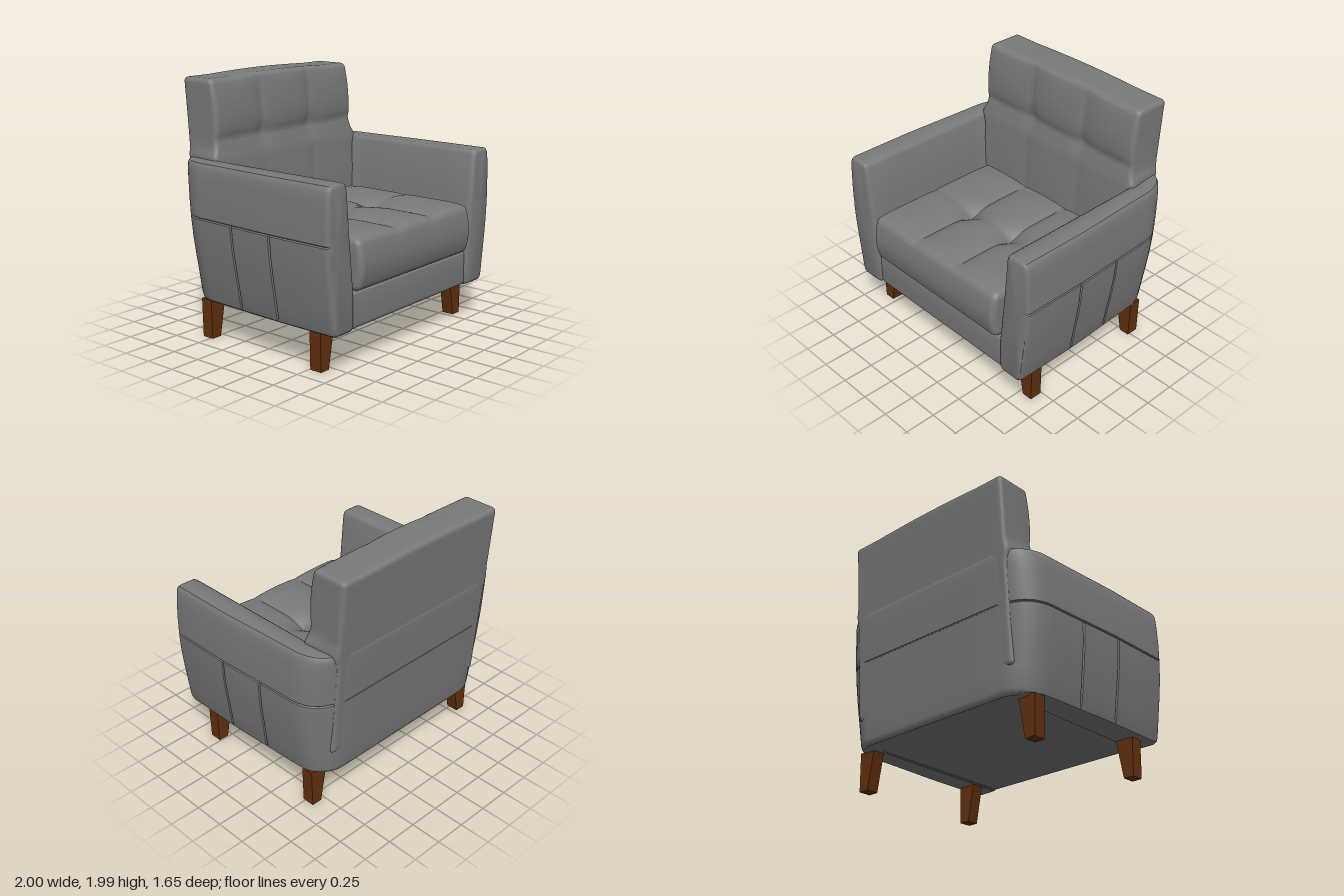
import * as THREE from 'three';
import { mergeVertices, toCreasedNormals } from 'three/addons/utils/BufferGeometryUtils.js';

const clamp = THREE.MathUtils.clamp, lerp = THREE.MathUtils.lerp;

// Grid coordinates along one axis: dense in the rounded rim, snapped to seams
function axis(half, r, n, seams = []) {
  const k = 4, c = [];
  for (let i = 0; i <= n; i++) {
    const e = Math.min(i, n - i), s = i < n / 2 ? -1 : 1;
    if (e < k) c.push(s * (half - r + r * Math.tan((1 - e / k) * Math.PI / 4)));
    else c.push(lerp(-(half - r), half - r, (i - k) / (n - 2 * k)));
  }
  for (const s of seams) {
    let b = 0;
    c.forEach((v, i) => { if (Math.abs(v - s) < Math.abs(c[b] - s)) b = i; });
    c[b] = s;
  }
  return c;
}

// Rounded box whose vertices are then moved by a warp rule
function softBox(half, r, n, seams, warp, crease = 0.7) {
  let g = new THREE.BoxGeometry(1, 1, 1, ...n);
  g.deleteAttribute('uv');
  g.deleteAttribute('normal');
  g = mergeVertices(g);
  const ax = half.map((h, i) => axis(h, r, n[i], seams[i]));
  const p = g.attributes.position, v = new THREE.Vector3(), core = new THREE.Vector3();
  for (let i = 0; i < p.count; i++) {
    v.fromBufferAttribute(p, i);
    v.set(...v.toArray().map((u, a) => ax[a][Math.round((u + 0.5) * n[a])]));
    core.set(...v.toArray().map((u, a) => clamp(u, r - half[a], half[a] - r)));
    v.sub(core).setLength(r).add(core);
    warp(v);
    p.setXYZ(i, v.x, v.y, v.z);
  }
  return toCreasedNormals(g, crease);
}

// Pillow bulge (0 at seams, 1 mid panel) for three panels across the width
function panels(x, seam, edge) {
  const a = Math.abs(x);
  const u = a < seam ? (x + seam) / (2 * seam) : clamp((a - seam) / (edge - seam), 0, 1) * 0.9;
  return Math.pow(Math.max(0, Math.sin(Math.PI * u)), 0.6);
}

// Piecewise linear curve through [input, output] pairs
function curve(pts, t) {
  for (let i = 1; i < pts.length; i++) {
    const [a, b] = [pts[i - 1], pts[i]];
    if (t <= b[0] || i === pts.length - 1) return lerp(a[1], b[1], clamp((t - a[0]) / (b[0] - a[0]), 0, 1));
  }
}

// Arms and back wall: one arm profile swept round a U-shaped plan
function shellGeometry() {
  // [0 inner .. 1 outer, sideways bulge, height, seam depth]
  const profile = [
    [0, 0, 0.32], [0.1, 0, 0.302], [0.5, 0, 0.3], [0.88, 0, 0.3], [0.97, 0.005, 0.315], [1, 0.008, 0.345],
    [1, 0.03, 0.5], [1, 0.052, 0.65], [1, 0.07, 0.8], [1, 0.078, 0.93], [1, 0.079, 0.957],
    [1, 0.079, 0.965, 0.009], [1, 0.079, 0.973], [1, 0.079, 1.1], [1, 0.072, 1.25], [1, 0.064, 1.33],
    [0.98, 0.06, 1.362], [0.92, 0.06, 1.378], [0.8, 0.06, 1.383], [0.5, 0.07, 1.383], [0.15, 0.08, 1.381],
    [0.06, 0.083, 1.37], [0, 0.085, 1.345], [0, 0.05, 1.0], [0, 0.01, 0.66], [0, 0, 0.58]];
  const half = [];
  const side = (z, o = {}) => half.push({
    xo: 0.92 - 0.03 * clamp((0.2 - z) / 0.65, 0, 1), zo: z, xi: 0.7, zi: z, nx: 1, nz: 0, inset: 0, groove: 0, slant: 0, ...o });
  side(0.78, { inset: 0.03 });
  side(0.775, { inset: 0.014 });
  side(0.762, { inset: 0.004 });
  side(0.74);
  side(0.5);
  for (const [z, slant] of [[0.237, 0.022], [-0.152, 0.045]]) {
    side(z + 0.009, { slant });
    side(z, { slant, groove: 0.009 });
    side(z - 0.009, { slant });
    side(z - 0.15);
  }
  side(-0.45);
  for (let i = 1; i <= 8; i++) {
    const a = i / 8 * Math.PI / 2, c = Math.cos(a), s = Math.sin(a);
    side(-0.45, { xo: 0.67 + 0.22 * c, zo: -0.45 - 0.24 * s, xi: 0.7 - 0.01 * i, zi: -0.45 - 0.1 * s, nx: c, nz: -s });
  }
  for (const x of [0.4, 0.2]) side(0, { xo: x, zo: -0.69, xi: x, zi: -0.55, nx: 0, nz: -1 });
  const mid = { ...half[half.length - 1], xo: 0, xi: 0 };
  const mirrored = half.map(s => ({ ...s, xo: -s.xo, xi: -s.xi, nx: -s.nx })).reverse();
  const stations = [...half, mid, ...mirrored];

  const pos = [], idx = [], m = profile.length, centres = [];
  for (const s of stations) {
    const ring = profile.map(([t, d, y, g = 0]) => {
      if (t > 0.9 && y > 0.34 && y < 0.96) g += s.groove;
      const x = lerp(s.xi, s.xo, t) + s.nx * (d - g);
      let z = lerp(s.zi, s.zo, t) - s.nz * g + s.slant * Math.max(0, 0.965 - y);
      z -= 0.082 * (y - 0.3) * clamp((-z - 0.3) / 0.3, 0, 1);
      return new THREE.Vector3(x, y, z);
    });
    const c = ring.reduce((a, v) => a.add(v), new THREE.Vector3()).divideScalar(m);
    for (const v of ring) {
      v.x = lerp(v.x, c.x, s.inset / 0.12);
      v.y = lerp(v.y, c.y, s.inset / 0.54);
      pos.push(v.x, v.y, v.z);
    }
    centres.push(c);
  }
  const last = stations.length - 1;
  for (let i = 0; i < last; i++) for (let j = 0; j < m; j++) {
    const a = i * m + j, b = i * m + (j + 1) % m;
    idx.push(a, a + m, b, b, a + m, b + m);
  }
  // front faces of both arms
  for (const end of [0, last]) {
    const c = pos.length / 3;
    pos.push(...centres[end].toArray());
    for (let j = 0; j < m; j++) {
      const a = end * m + j, b = end * m + (j + 1) % m;
      idx.push(c, ...(end ? [b, a] : [a, b]));
    }
  }
  const g = new THREE.BufferGeometry();
  g.setAttribute('position', new THREE.Float32BufferAttribute(pos, 3));
  g.setIndex(idx);
  return toCreasedNormals(g, 0.65);
}

// Backrest: sloped slab with three tufted pillows above a cross seam
function backrestGeometry() {
  const front = [[0.5, -0.4], [1.38, -0.455], [1.53, -0.488], [1.98, -0.54]];
  const cy = 1.24, D = 0.15;
  return softBox([0.79, 0.74, D], 0.035, [56, 56, 12], [[-0.27, 0.27], [1.53 - cy], []], v => {
    const y = v.y + cy, t = (v.z + D) / (2 * D), px = panels(v.x, 0.27, 0.79);
    const up = Math.pow(Math.max(0, Math.sin(Math.PI * clamp((y - 1.53) / 0.47, 0, 1))), 0.6);
    const low = Math.sin(Math.PI * clamp((y - 0.7) / 0.83, 0, 1));
    const tuft = Math.exp(-((Math.abs(v.x) - 0.27) ** 2 + (y - 1.53) ** 2) / 0.006);
    const f = curve(front, y) + up * (0.012 + 0.03 * px) + low * 0.014 * px - 0.018 * tuft;
    v.z = lerp(-0.687 - 0.082 * (y - 0.3), f, t);
    v.x *= 1 + 0.05 * Math.exp(-(((y - 1.38) / 0.06) ** 2)) * (0.35 + 0.65 * t);
    v.y = y + clamp((y - 1.7) / 0.28, 0, 1) * 0.013 * Math.cos(clamp(v.x / 0.55, -1, 1) * Math.PI / 2);
  });
}

// Seat cushion: crowned, with two lengthwise seams, one cross seam and two tufts
function seatGeometry() {
  const cy = 0.767, cz = 0.195;
  return softBox([0.69, 0.187, 0.595], 0.045, [56, 16, 52], [[-0.22, 0.22], [], [0.2 - cz]], v => {
    const z = v.z + cz, top = clamp((v.y + 0.187) / 0.374, 0, 1) ** 2;
    const tuft = Math.exp(-((Math.abs(v.x) - 0.22) ** 2 + (z - 0.2) ** 2) / 0.01);
    const seam = Math.exp(-Math.abs(z - 0.2) / 0.03);
    const rim = clamp((0.8 - z) / 0.15, 0, 1) * clamp((z + 0.4) / 0.15, 0, 1);
    const pillow = 0.034 * panels(v.x, 0.22, 0.69) * (0.4 + 0.6 * rim) - 0.01 * seam - 0.045 * tuft;
    const bow = Math.cos(clamp(v.y / 0.187, -1, 1) * Math.PI / 2);
    v.set(v.x, v.y + cy + top * pillow, z + 0.035 * bow * clamp((z - 0.6) / 0.19, 0, 1));
  });
}

// Leg: straight outside, tapering on the inner side
function legGeometry(side) {
  const g = new THREE.BoxGeometry(1, 0.31, 0.1);
  const p = g.attributes.position;
  for (let i = 0; i < p.count; i++) {
    const low = p.getY(i) < 0, outer = p.getX(i) * side > 0;
    p.setX(i, side * (outer ? (low ? 0.873 : 0.88) : (low ? 0.787 : 0.73)));
  }
  g.computeVertexNormals();
  return g;
}

export function createModel() {
  const model = new THREE.Group();
  model.name = 'armchair';
  const upholstery = new THREE.MeshStandardMaterial({ color: 0x7a7a7a });
  upholstery.name = 'grey upholstery';
  const wood = new THREE.MeshStandardMaterial({ color: 0x63300f });
  wood.name = 'brown wood';
  const add = (name, geometry, material) => {
    const mesh = new THREE.Mesh(geometry, material);
    mesh.name = name;
    model.add(mesh);
    return mesh;
  };

  add('armsAndBackShell', shellGeometry(), upholstery);
  add('backrest', backrestGeometry(), upholstery);
  add('seatCushion', seatGeometry(), upholstery);
  add('seatBase', softBox([0.72, 0.14, 0.7], 0.03, [10, 10, 10], [], v => v.add(new THREE.Vector3(0, 0.444, 0.06))), upholstery);

  for (const side of [1, -1]) for (const [end, z] of [['front', 0.56], ['rear', -0.53]]) {
    add(end + (side > 0 ? 'Left' : 'Right') + 'Leg', legGeometry(side), wood).position.set(0, 0.155, z);
  }
  return model;
}
